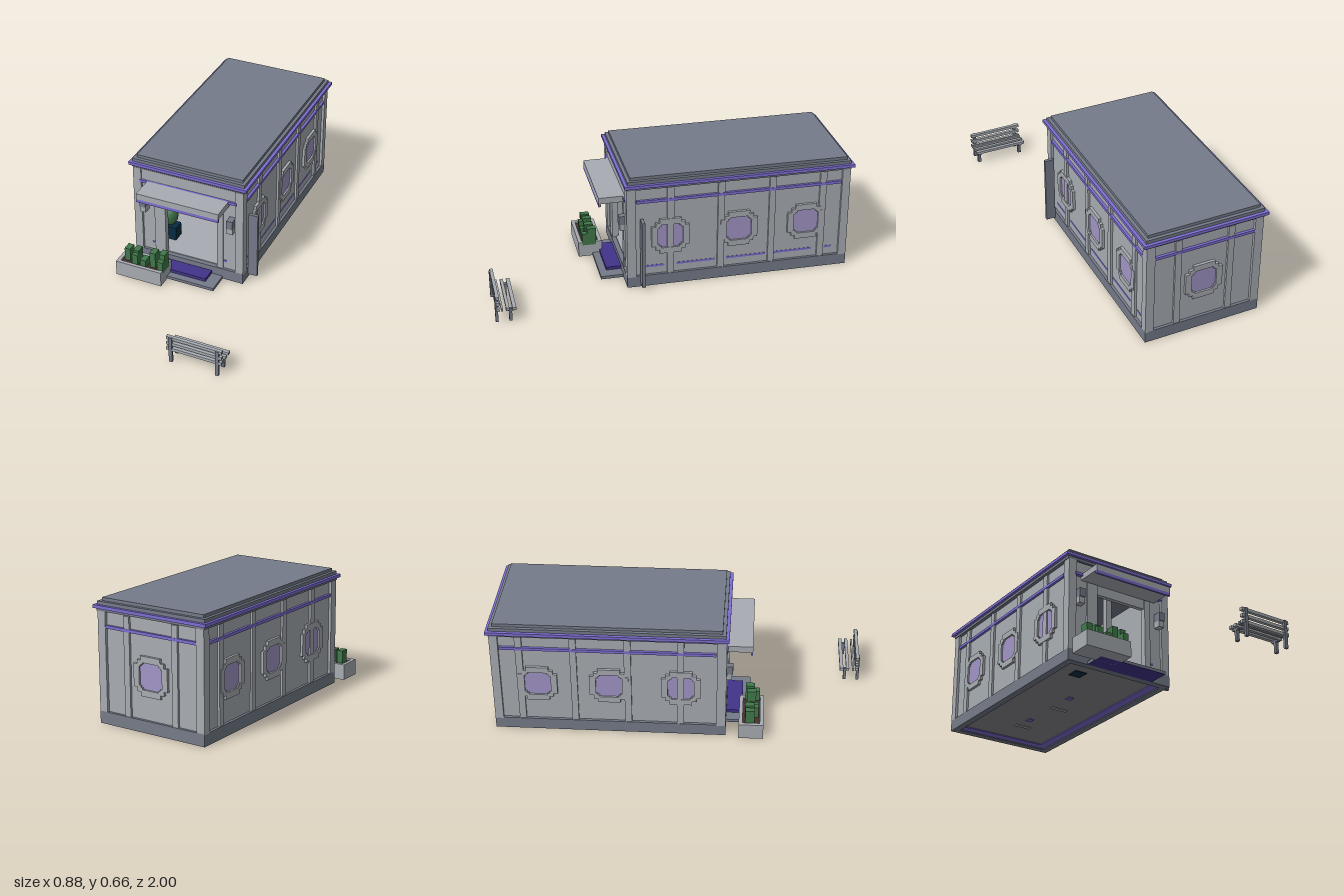
import * as THREE from 'three';

const mat = (name, color) => {
  const m = new THREE.MeshStandardMaterial({ color });
  m.name = name;
  return m;
};

export function createModel() {
  const light = mat('lightGrey', 0xa8adb3);
  const slate = mat('slateGrey', 0x757b89);
  const purple = mat('purpleTrim', 0x7d6ed2);
  const indigo = mat('indigoMat', 0x42348a);
  const navy = mat('navy', 0x082c42);
  const leaf = mat('leafGreen', 0x41784a);
  const mint = mat('mintGreen', 0x3a9c74);
  const glass = mat('lavenderGlass', 0xa195c6);
  const soil = mat('soilBrown', 0x46302c);
  const under = mat('undersideGrey', 0x88888c);

  const model = new THREE.Group();
  model.name = 'clinicBuilding';
  const group = (name, parent = model) => {
    const g = new THREE.Group();
    g.name = name;
    parent.add(g);
    return g;
  };
  // Box from its minimum and maximum on each axis
  const box = (name, m, x0, x1, y0, y1, z0, z1, parent = model) => {
    const mesh = new THREE.Mesh(new THREE.BoxGeometry(x1 - x0, y1 - y0, z1 - z0), m);
    mesh.position.set((x0 + x1) / 2, (y0 + y1) / 2, (z0 + z1) / 2);
    mesh.name = name;
    parent.add(mesh);
    return mesh;
  };

  const CX = -0.095; // building axis
  const L = -0.405, R = 0.215, F = 0.245, B = -0.97; // wall faces

  // Base ring, floor and underside
  const base = group('base');
  for (const [a, b] of [[-0.42, -0.38], [0.19, 0.23]]) box('baseSide', slate, a, b, 0, 0.065, -0.985, 0.26, base);
  box('baseFront', slate, -0.38, 0.19, 0, 0.065, 0.22, 0.26, base);
  box('baseBack', slate, -0.38, 0.19, 0, 0.065, -0.985, -0.945, base);
  box('floor', light, -0.38, 0.19, 0.03, 0.07, -0.945, 0.235, base);
  box('underside', under, -0.38, 0.19, 0.012, 0.03, -0.945, 0.22, base);
  box('undersideTrim', purple, 0.14, 0.19, 0.006, 0.012, -0.945, 0.22, base);
  box('undersideTrim', purple, -0.38, 0.14, 0.006, 0.012, -0.945, -0.895, base);
  const footings = [[navy, -0.26, 0.107, 0.07, 0.07], [light, -0.07, -0.37, 0.1, 0.025], [light, -0.1, -0.71, 0.1, 0.025],
    [purple, -0.11, -0.2, 0.035, 0.035], [purple, -0.12, -0.6, 0.035, 0.035]];
  for (const [m, x, z, w, d] of footings) {
    box('undersideFooting', m, x - w / 2, x + w / 2, 0.008, 0.012, z - d / 2, z + d / 2, base);
  }

  // Walls with an open doorway
  const walls = group('walls');
  box('wallRightSide', light, R - 0.025, R, 0.065, 0.6, B, F, walls);
  box('wallLeftSide', light, L, L + 0.025, 0.065, 0.6, B, F, walls);
  box('wallBack', light, L, R, 0.065, 0.6, B, B + 0.025, walls);
  box('wallFront', light, L, -0.235, 0.065, 0.6, F - 0.025, F, walls);
  box('wallFront', light, 0.075, R, 0.065, 0.6, F - 0.025, F, walls);
  box('doorLintel', light, -0.235, 0.075, 0.43, 0.6, F - 0.025, F, walls);
  for (const [a, b] of [[-0.42, -0.373], [0.183, 0.23]]) {
    box('cornerPost', light, a, b, 0.06, 0.59, 0.21, 0.26, walls);
    box('cornerPost', light, a, b, 0.06, 0.59, -0.985, -0.94, walls);
  }
  for (const [a, b] of [[-0.3, -0.235], [0.075, 0.11]]) box('doorJamb', light, a, b, 0.065, 0.48, F, F + 0.01, walls);
  box('frontFascia', light, -0.373, 0.183, 0.52, 0.585, F, F + 0.008, walls);

  // Stepped octagon outline for windows
  const stepped = (Type, h, s) => {
    const quarter = [[h, h - 2 * s], [h - s, h - 2 * s], [h - s, h - s], [h - 2 * s, h - s], [h - 2 * s, h]];
    const pts = [];
    for (let q = 0; q < 4; q++) {
      for (const [x, y] of quarter) {
        const p = new THREE.Vector2(x, y);
        p.rotateAround(new THREE.Vector2(), q * Math.PI / 2);
        pts.push(p);
      }
    }
    return new Type(pts);
  };
  const frameShape = stepped(THREE.Shape, 0.104, 0.022);
  frameShape.holes.push(stepped(THREE.Path, 0.07, 0.01));
  const frameGeo = new THREE.ExtrudeGeometry(frameShape, { depth: 0.015, bevelEnabled: false });
  const glassGeo = new THREE.ExtrudeGeometry(stepped(THREE.Shape, 0.072, 0.01), { depth: 0.005, bevelEnabled: false });
  const addWindow = (x, z, turn) => {
    const g = group('window');
    const frame = new THREE.Mesh(frameGeo, light);
    frame.name = 'windowFrame';
    const pane = new THREE.Mesh(glassGeo, glass);
    pane.name = 'windowPane';
    g.add(frame, pane);
    g.position.set(x, 0.295, z);
    g.rotation.y = turn;
  };

  // Side walls: windows, pilasters and purple stripes
  const pilasters = [[0.0, 0.037], [-0.28, -0.243], [-0.565, -0.53], [-0.852, -0.815]];
  for (const side of [1, -1]) {
    const face = side > 0 ? R : L;
    const plate = (name, m, d, y0, y1, z0, z1) =>
      box(name, m, Math.min(face, face + side * d), Math.max(face, face + side * d), y0, y1, z0, z1);
    for (const z of [0.02, -0.362, -0.742]) addWindow(face, z, side * Math.PI / 2);
    for (const [a, b] of pilasters) plate('pilaster', light, 0.012, 0.065, 0.585, a, b);
    plate('upperStripe', purple, 0.014, 0.505, 0.521, -0.935, 0.205);
  }
  for (const [a, b] of [[0.05, 0.17], [-0.23, -0.015], [-0.52, -0.295], [-0.785, -0.57], [-0.9, -0.86]]) {
    box('lowerStripe', purple, R, R + 0.002, 0.107, 0.119, a, b);
  }

  // Back wall: window, pilasters, stripe
  addWindow(CX, B, Math.PI);
  for (const x of [-0.26, 0.035]) box('backPilaster', light, x, x + 0.035, 0.065, 0.585, B - 0.012, B);
  box('backStripe', purple, -0.38, 0.19, 0.505, 0.521, B - 0.014, B);
  box('frontStripe', purple, -0.38, 0.19, 0.504, 0.52, F, F + 0.02);
  for (const x of [-0.32, 0.11]) box('frontLowerStripe', purple, x, x + 0.02, 0.107, 0.119, F, F + 0.004);

  // Stepped roof
  const roof = group('roof');
  const tiers = [[0.59, 0.606, 0, slate], [0.605, 0.622, 0.015, purple], [0.622, 0.64, -0.002, slate], [0.64, 0.657, -0.02, slate]];
  for (const [y0, y1, d, m] of tiers) box('roofTier', m, -0.425 - d, 0.235 + d, y0, y1, -0.985 - d, 0.257 + d, roof);

  // Awning, wall lamps, entrance step, side board
  box('awning', light, -0.335, 0.145, 0.485, 0.52, F, 0.395);
  box('awningLip', purple, -0.335, 0.145, 0.467, 0.485, 0.383, 0.395);
  for (const x of [-0.372, 0.146]) {
    box('lampCap', slate, x, x + 0.035, 0.365, 0.415, F, 0.293);
    box('lampGlow', light, x, x + 0.035, 0.33, 0.365, F, 0.288);
  }
  box('entranceStep', slate, -0.3, 0.11, 0.002, 0.017, 0.26, 0.385);
  box('stepUnderside', indigo, -0.3, 0.11, 0, 0.002, 0.26, 0.385);
  box('entranceMat', indigo, -0.235, 0.045, 0.017, 0.035, 0.26, 0.345);
  box('sideBoard', slate, 0.23, 0.283, 0.02, 0.415, 0.17, 0.188);

  // Interior: mural, desk, post, pendant, potted bush
  const room = group('interior');
  const MZ = B + 0.025;
  box('mural', navy, -0.3, 0.12, 0.21, 0.45, MZ, MZ + 0.006, room);
  box('backSkirting', purple, -0.38, 0.19, 0.092, 0.105, MZ, MZ + 0.006, room);
  const blob = (m, x, y, rx, ry, tilt, dz) => {
    const mesh = new THREE.Mesh(new THREE.CircleGeometry(1, 14), m);
    mesh.scale.set(rx, ry, 1);
    mesh.rotation.z = tilt;
    mesh.position.set(x, y, MZ + dz);
    mesh.name = 'muralShape';
    room.add(mesh);
  };
  blob(purple, -0.224, 0.355, 0.013, 0.024, 0.3, 0.008);
  blob(purple, -0.155, 0.285, 0.042, 0.01, -0.45, 0.008);
  blob(purple, -0.075, 0.312, 0.014, 0.03, -0.5, 0.008);
  blob(purple, 0.058, 0.352, 0.011, 0.026, 0.6, 0.008);
  blob(mint, -0.19, 0.36, 0.022, 0.052, 0.35, 0.01);
  blob(mint, -0.142, 0.282, 0.012, 0.01, 0, 0.01);
  blob(mint, -0.088, 0.265, 0.05, 0.032, 0.6, 0.01);
  blob(mint, -0.006, 0.36, 0.022, 0.045, -0.1, 0.01);
  blob(mint, 0.05, 0.387, 0.011, 0.014, 0.3, 0.01);
  blob(mint, -0.053, 0.422, 0.009, 0.009, 0, 0.01);
  box('desk', light, -0.165, 0.01, 0.07, 0.14, -0.42, -0.32, room);
  box('deskTop', light, -0.17, 0.012, 0.14, 0.155, -0.43, -0.31, room);
  box('deskPlant', leaf, -0.113, -0.08, 0.155, 0.19, -0.39, -0.36, room);
  box('deskScreen', glass, -0.062, -0.045, 0.155, 0.19, -0.39, -0.37, room);
  box('roomPost', light, 0.01, 0.044, 0.07, 0.59, -0.05, -0.015, room);
  box('pendantLamp', light, -0.062, -0.01, 0.365, 0.412, -0.35, -0.3, room);
  box('pendantAccent', purple, -0.01, 0.004, 0.395, 0.412, -0.34, -0.31, room);
  box('roomSkirting', purple, -0.38, -0.374, 0.092, 0.105, MZ, 0.21, room);
  box('plantPot', navy, -0.3, -0.236, 0.07, 0.15, 0.06, 0.13, room);
  const bush = new THREE.Mesh(new THREE.IcosahedronGeometry(0.048, 1), leaf);
  bush.scale.y = 1.4;
  bush.position.set(-0.284, 0.215, 0.1);
  bush.name = 'pottedBush';
  room.add(bush);

  // Planter with rim, soil and hedge blocks
  const planter = group('planter');
  for (const [a, b] of [[-0.44, -0.42], [-0.187, -0.167]]) box('planterSide', light, a, b, 0, 0.088, 0.33, 0.463, planter);
  for (const z of [0.33, 0.443]) box('planterSide', light, -0.42, -0.187, 0, 0.088, z, z + 0.02, planter);
  box('planterBottom', light, -0.42, -0.187, 0, 0.01, 0.35, 0.443, planter);
  box('planterSoil', soil, -0.42, -0.187, 0.01, 0.078, 0.35, 0.443, planter);
  const hedges = [[-0.408, 0.155, 0.365], [-0.355, 0.14, 0.385], [-0.358, 0.155, 0.362], [-0.253, 0.172, 0.37],
    [-0.2, 0.172, 0.362], [-0.305, 0.12, 0.385], [-0.2, 0.14, 0.39]];
  for (const [x, h, z] of hedges) box('hedgeBlock', leaf, x, x + 0.034, 0.07, h, z, z + 0.05, planter);

  // Bench
  const bench = group('bench');
  for (const [a, b] of [[0.89, 0.91], [0.926, 0.943], [0.96, 0.97]]) box('seatSlat', light, 0.13, 0.435, 0.07, 0.086, a, b, bench);
  for (const y of [0.07, 0.104, 0.139]) box('backSlat', light, 0.13, 0.435, y, y + 0.017, 0.977, 0.995, bench);
  for (const x of [0.146, 0.403]) {
    box('backPost', slate, x, x + 0.018, 0, 0.156, 0.985, 1, bench);
    box('frontLeg', slate, x, x + 0.018, 0, 0.07, 0.912, 0.928, bench);
    box('seatRail', slate, x, x + 0.018, 0.06, 0.072, 0.895, 0.943, bench);
  }

  return model;
}
